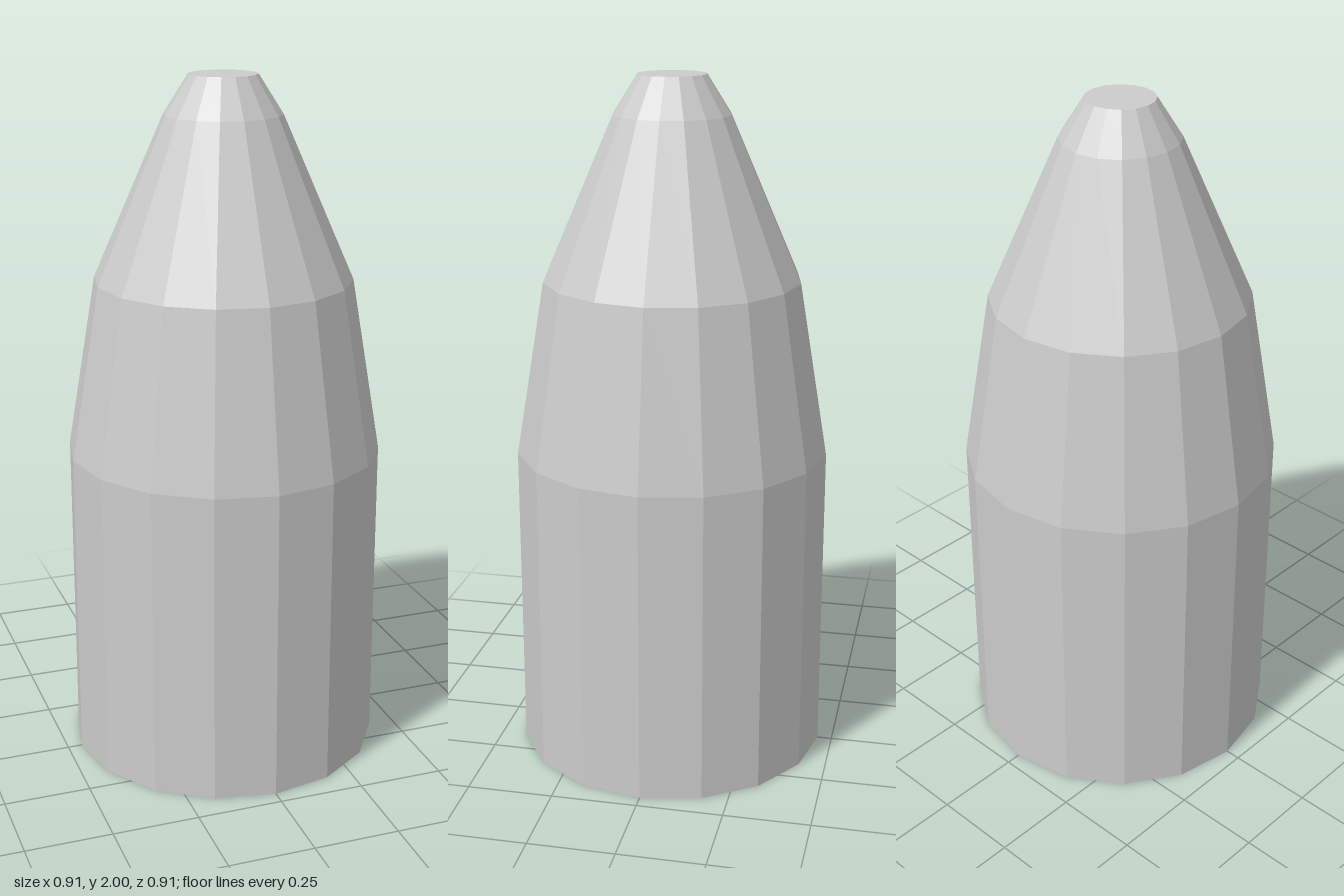
import * as THREE from 'three';

const SIDES = 16;

export function createModel() {
  const group = new THREE.Group();
  const material = new THREE.MeshStandardMaterial({ color: 0xcccccc, flatShading: true });

  // Faceted body: straight case, tapering nose, small flat tip; closed at both ends
  const profile = [
    [0, 0], [0.457, 0], [0.457, 0.92], [0.372, 1.425],
    [0.168, 1.89], [0.098, 2], [0, 2],
  ].map(([r, y]) => new THREE.Vector2(r, y));

  const body = new THREE.Mesh(new THREE.LatheGeometry(profile, SIDES), material);
  body.name = 'taperedBody';
  group.add(body);
  return group;
}
